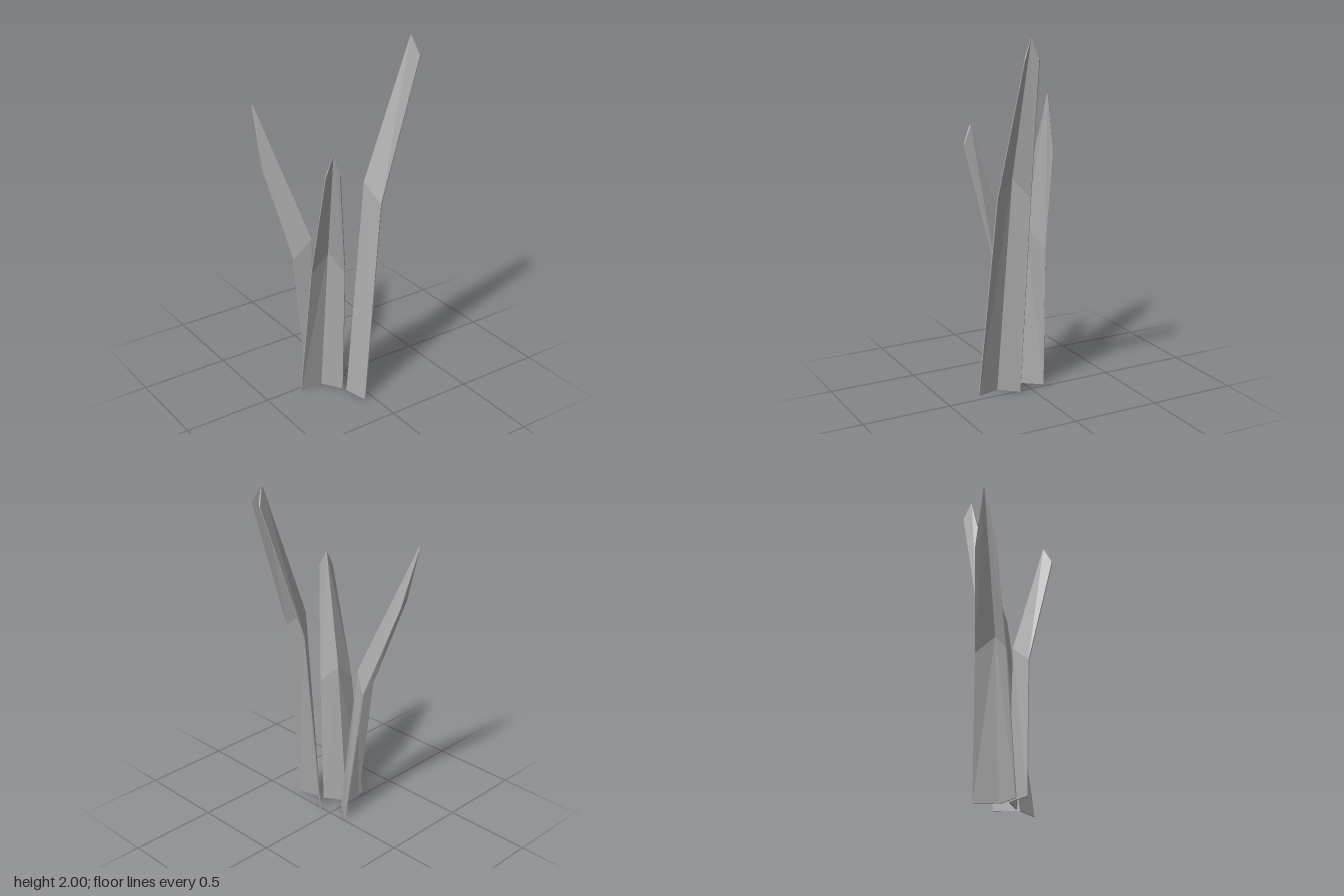
import * as THREE from 'three';

const THICKNESS = 0.007;

// Each blade: rows from base to tip, each row = edge, spine, edge as [x, y, z].
const blades = {
  tallBlade: [
    [[0.008, 0, 0.068], [-0.083, 0, 0.17], [-0.05, 0, 0.302]],
    [[0.128, 1.14, 0.066], [0.048, 1.24, 0.138], [0.083, 1.14, 0.246]],
    [[0.353, 1.9, 0.14], [0.312, 2, 0.168], [0.337, 1.9, 0.219]],
  ],
  backBlade: [
    [[-0.238, 0, 0.007], [-0.102, 0, 0.013], [-0.02, 0, -0.095]],
    [[-0.265, 0.78, -0.072], [-0.158, 0.88, -0.055], [-0.1, 0.78, -0.15]],
    [[-0.355, 1.29, -0.225], [-0.355, 1.62, -0.303], [-0.252, 1.29, -0.272]],
  ],
  shortBlade: [
    [[-0.085, 0, 0.14], [-0.158, 0, 0.027], [-0.295, 0, 0.024]],
    [[-0.096, 0.76, 0.175], [-0.143, 0.86, 0.08], [-0.258, 0.76, 0.085]],
    [[-0.207, 1.39, 0.293], [-0.22, 1.49, 0.247], [-0.277, 1.39, 0.256]],
  ],
};

// Turn a folded row into a closed loop: outer edge, then the inner edge back again.
function thicken(row) {
  const side = (a, b) => new THREE.Vector2(a[2] - b[2], b[0] - a[0]).normalize();
  const n0 = side(row[0], row[1]);
  const n2 = side(row[1], row[2]);
  const normals = [n0, n0.clone().add(n2).normalize(), n2];
  const inner = row.map((p, i) => [
    p[0] - normals[i].x * THICKNESS, p[1], p[2] - normals[i].y * THICKNESS,
  ]);
  return [...row, ...inner.reverse()];
}

function bladeGeometry(rows) {
  const points = rows.map(thicken).flat();
  const index = [];
  const quad = (a, b, c, d) => index.push(a, b, c, a, c, d);
  // walls, split from the wing edges towards the spine
  for (let r = 0; r < rows.length - 1; r++) {
    for (let k = 0; k < 6; k++) {
      const a = r * 6 + k;
      const b = r * 6 + (k + 1) % 6;
      if (k === 1 || k === 4) quad(b, b + 6, a + 6, a);
      else quad(a, b, b + 6, a + 6);
    }
  }
  // base and tip caps
  const t = (rows.length - 1) * 6;
  quad(t, t + 1, t + 4, t + 5);
  quad(t + 1, t + 2, t + 3, t + 4);
  quad(5, 4, 1, 0);
  quad(4, 3, 2, 1);

  const indexed = new THREE.BufferGeometry();
  indexed.setAttribute('position', new THREE.Float32BufferAttribute(points.flat(), 3));
  indexed.setIndex(index);
  const geometry = indexed.toNonIndexed();
  geometry.computeVertexNormals();
  return geometry;
}

export function createModel() {
  const model = new THREE.Group();
  model.name = 'grassTuft';
  const grey = new THREE.MeshStandardMaterial({ color: 0xa8a8a8 });
  grey.name = 'grey';
  for (const [name, rows] of Object.entries(blades)) {
    const blade = new THREE.Mesh(bladeGeometry(rows), grey);
    blade.name = name;
    model.add(blade);
  }
  return model;
}
